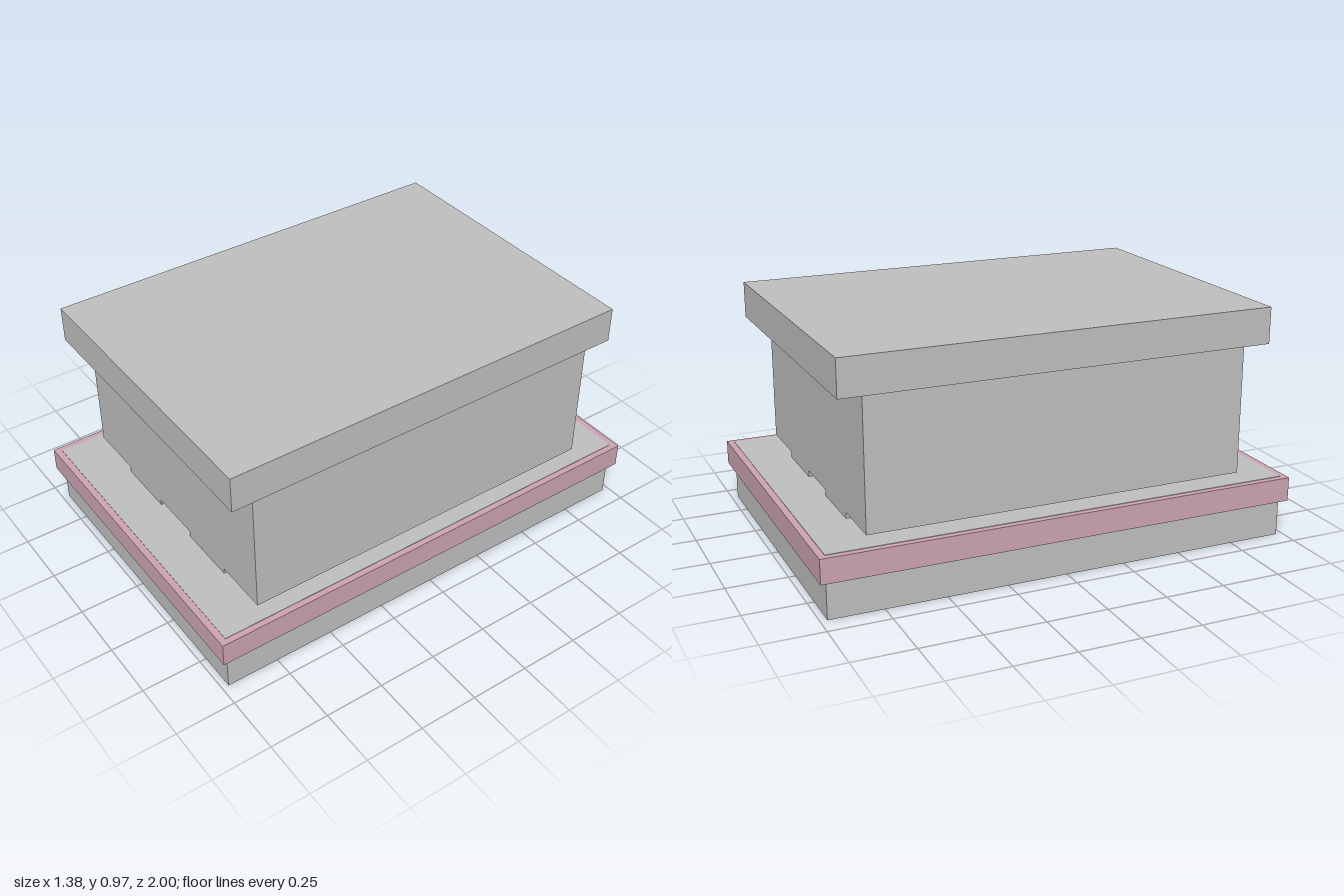
import * as THREE from 'three';

export function createModel() {
  const model = new THREE.Group();
  const grey = new THREE.MeshStandardMaterial({ color: 0xbebebe });
  grey.name = 'light grey';
  const pink = new THREE.MeshStandardMaterial({ color: 0xcba2b3 });
  pink.name = 'dusty pink';

  // box centred on x and z, spanning y0 to y1
  const block = (name, material, width, depth, y0, y1, x = 0) => {
    const mesh = new THREE.Mesh(new THREE.BoxGeometry(width, y1 - y0, depth), material);
    mesh.name = name;
    mesh.position.set(x, (y0 + y1) / 2, 0);
    model.add(mesh);
  };

  // plinth, rising through the pink band to form its inset top
  block('base', grey, 1.33, 1.945, 0, 0.258);
  block('baseBand', pink, 1.382, 2, 0.155, 0.256);

  // two full-depth runners leave slots beneath the body
  for (const side of [-1, 1]) {
    block(side > 0 ? 'leftRunner' : 'rightRunner', grey, 0.258, 1.595, 0.257, 0.284, side * 0.244);
  }

  block('body', grey, 1.226, 1.595, 0.283, 0.823);
  block('lid', grey, 1.278, 1.795, 0.823, 0.974);

  return model;
}
